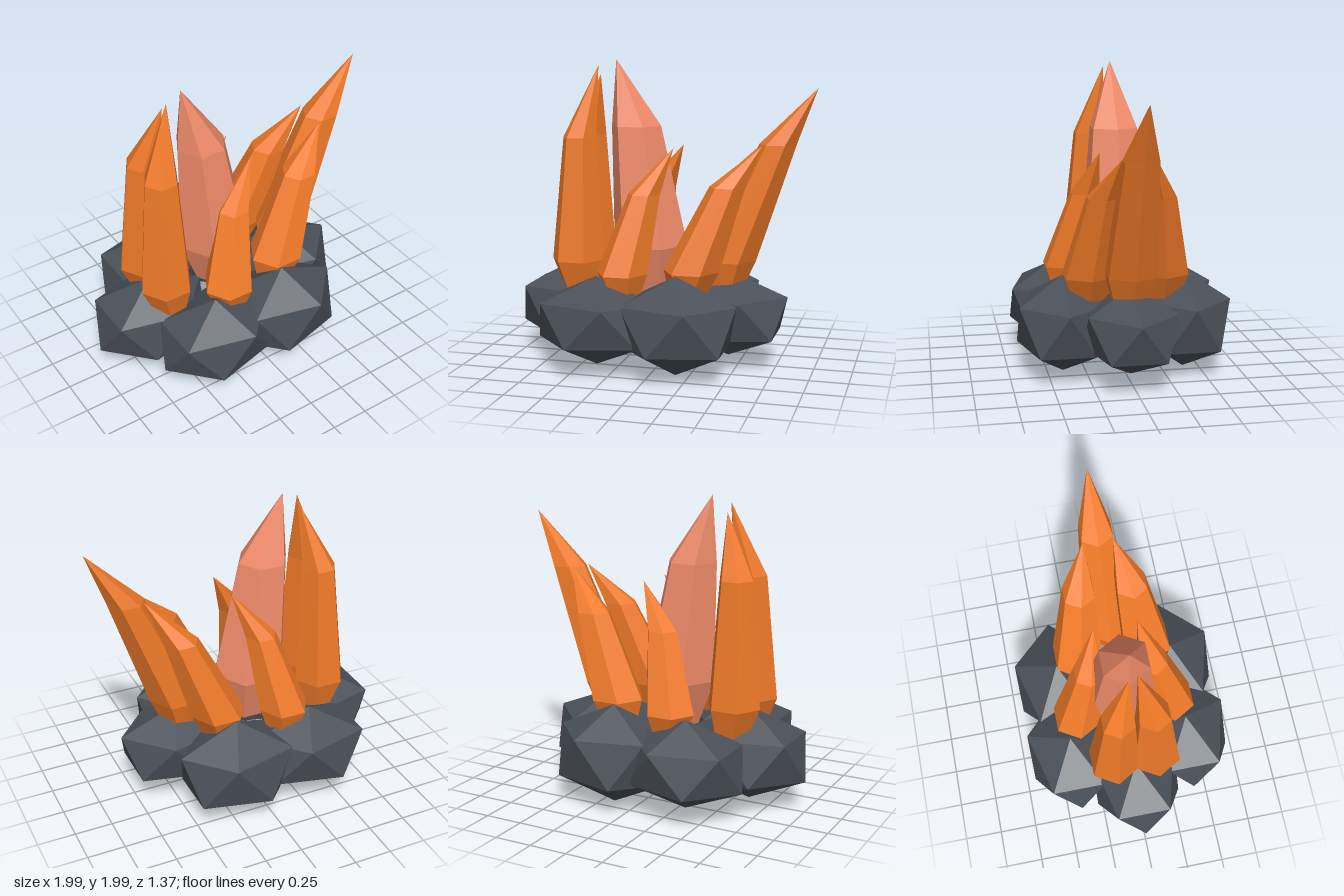
import * as THREE from 'three';
import { ConvexGeometry } from 'three/addons/geometries/ConvexGeometry.js';

const V = (x, y, z) => new THREE.Vector3(x, y, z);
const material = (color) => new THREE.MeshStandardMaterial({ color, flatShading: true });

// Twenty-sided boulder standing on a point, squashed to an ellipsoid
function rock(name, x, y, z, height, mat) {
  const points = [V(0, 1, 0), V(0, -1, 0)];
  for (let i = 0; i < 10; i++) {
    const a = (i * Math.PI) / 5;
    points.push(V(0.894 * Math.cos(a), i % 2 ? -0.447 : 0.447, 0.894 * Math.sin(a)));
  }
  const geometry = new ConvexGeometry(points);
  geometry.scale(0.437, height, 0.338);
  const mesh = new THREE.Mesh(geometry, mat);
  mesh.name = name;
  mesh.position.set(x, y, z);
  return mesh;
}

// Six-sided crystal; levels run from tip to base as [x, y, z, radius]
function crystal(name, levels, mat) {
  const geometry = new THREE.CylinderGeometry(0, 1, 3, 6, 3, false, Math.PI / 2);
  const p = geometry.attributes.position;
  for (let i = 0; i < p.count; i++) {
    const row = Math.round(1.5 - p.getY(i));
    const [x, y, z, radius] = levels[row];
    const s = row ? (radius * 3) / row : 0;
    p.setXYZ(i, x + p.getX(i) * s, y, z + p.getZ(i) * s);
  }
  geometry.computeVertexNormals();
  const mesh = new THREE.Mesh(geometry, mat);
  mesh.name = name;
  return mesh;
}

export function createModel() {
  const model = new THREE.Group();
  model.name = 'crystalCluster';
  const stone = material(0x4a5058);
  const orange = material(0xf07a28);
  const pink = material(0xf08c6a);

  // Ring of boulders
  model.add(
    rock('frontLeftRock', 0.17, 0.335, 0.4, 0.32, stone),
    rock('backLeftRock', 0.17, 0.33, -0.4, 0.33, stone),
    rock('frontRightRock', -0.35, 0.34, 0.4, 0.29, stone),
    rock('backRightRock', -0.35, 0.34, -0.4, 0.29, stone),
    rock('leftRock', 0.43, 0.34, 0, 0.285, stone),
    rock('rightRock', -0.61, 0.34, 0, 0.31, stone)
  );

  // Tall centre crystal and the far-leaning one
  model.add(
    crystal('centerCrystal', [[-0.33, 1.99, 0, 0], [-0.195, 1.56, 0, 0.168], [-0.1, 0.78, 0, 0.25], [-0.08, 0.48, 0, 0.16]], pink),
    crystal('leaningCrystal', [[0.99, 1.82, 0, 0], [0.74, 1.46, 0, 0.12], [0.43, 0.7, 0, 0.18], [0.4, 0.5, 0, 0.12]], orange)
  );

  // Paired crystals in front and behind; the back ones differ a little in height
  for (const s of [1, -1]) {
    const side = s > 0 ? 'front' : 'back';
    model.add(
      crystal(side + 'UprightCrystal', [
        [-0.445, s > 0 ? 1.95 : 1.89, s * 0.025, 0], [-0.55, 1.485, s * 0.11, 0.113],
        [-0.56, 0.68, s * 0.138, 0.177], [-0.54, 0.5, s * 0.14, 0.12]], orange),
      crystal(side + 'ShortCrystal', [
        [0.09, 1.43, s * 0.14, 0], [-0.085, 1.14, s * 0.21, 0.105],
        [-0.2, 0.64, s * 0.325, 0.168], [-0.19, 0.5, s * 0.33, 0.11]], orange),
      crystal(side + 'SlantedCrystal', [
        [0.66, s > 0 ? 1.46 : 1.485, s * 0.1, 0], [0.45, 1.2, s * 0.175, 0.115],
        [0.235, 0.66, s * 0.24, 0.182], [0.21, 0.5, s * 0.24, 0.12]], orange)
    );
  }
  return model;
}
